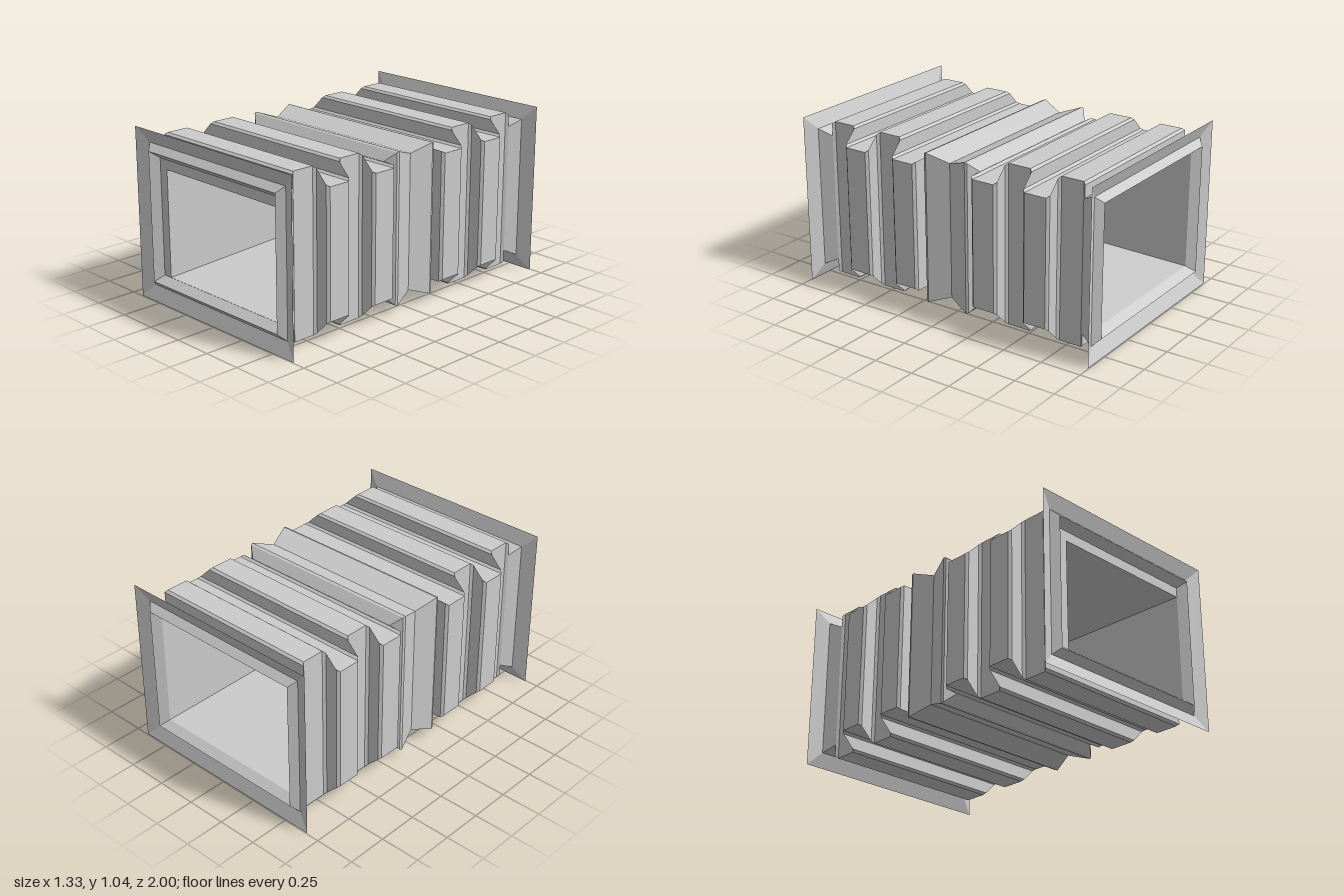
import * as THREE from 'three';

const CY = 0.522; // height of the duct axis
const material = new THREE.MeshStandardMaterial({ color: 0xcccccc, flatShading: true, side: THREE.DoubleSide });

// Skin of rectangular cross-sections, each [z, halfWidth, halfHeight, centreX, centreY]
function loft(name, sections) {
  const rings = sections.map(([z, w, h, x = 0, y = CY]) => [
    [x - w, y - h, z], [x + w, y - h, z], [x + w, y + h, z], [x - w, y + h, z],
  ]);
  const pos = [];
  for (let i = 0; i < rings.length - 1; i++) {
    for (let k = 0; k < 4; k++) {
      const n = (k + 1) % 4;
      const a = rings[i][k], b = rings[i][n], c = rings[i + 1][n], d = rings[i + 1][k];
      pos.push(...a, ...b, ...c, ...a, ...c, ...d);
    }
  }
  const geometry = new THREE.BufferGeometry();
  geometry.setAttribute('position', new THREE.Float32BufferAttribute(pos, 3));
  geometry.computeVertexNormals();
  const mesh = new THREE.Mesh(geometry, material);
  mesh.name = name;
  return mesh;
}

// Chamfered rib between z0 and z1; tall ribs stand out up and down, wide ribs to the sides
const tallRib = (z0, z1) => [
  [z0, 0.545, 0.473], [z0 + 0.015, 0.532, 0.486], [z1 - 0.015, 0.532, 0.486], [z1, 0.545, 0.473],
];
const wideRib = (z0, z1) => [
  [z0, 0.62, 0.398], [z0 + 0.015, 0.635, 0.386], [z1 - 0.015, 0.635, 0.386], [z1, 0.62, 0.398],
];

export function createModel() {
  const model = new THREE.Group();
  model.name = 'ductBellows';

  // Outer half bellows from the centre fold to the neck, then mirrored
  const half = [
    [0, 0.56, 0.412], [0.135, 0.605, 0.46], [0.15, 0.6, 0.455], [0.195, 0.54, 0.4],
    ...wideRib(0.195, 0.365),
    ...tallRib(0.365, 0.54),
    ...wideRib(0.54, 0.71),
    ...tallRib(0.71, 0.88),
    [0.88, 0.545, 0.398], [0.96, 0.58, 0.436],
  ];
  const mirrored = half.slice(1).reverse().map(([z, w, h]) => [-z, w, h]);
  model.add(loft('bellows', [...mirrored, ...half].reverse()));

  for (const s of [1, -1]) {
    const end = s > 0 ? 'front' : 'back';
    // Dished flange sheet
    model.add(loft(end + 'Flange', [[s * 0.96, 0.58, 0.436], [s * 0.995, 0.665, 0.522]]));
    // Raised lip around the opening
    model.add(loft(end + 'Lip', [
      [s * 0.96, 0.58, 0.436], [s, 0.54, 0.397], [s * 0.95, 0.5, 0.358],
    ]));
  }

  // Inner sleeve, narrowing to the middle; its front mouth sits off centre
  model.add(loft('sleeve', [
    [-0.95, 0.5, 0.358],
    [0, 0.435, 0.29, 0.01, 0.51],
    [0.95, 0.47, 0.3275, 0.03, 0.4925],
    [0.95, 0.5, 0.358],
  ]));
  return model;
}
